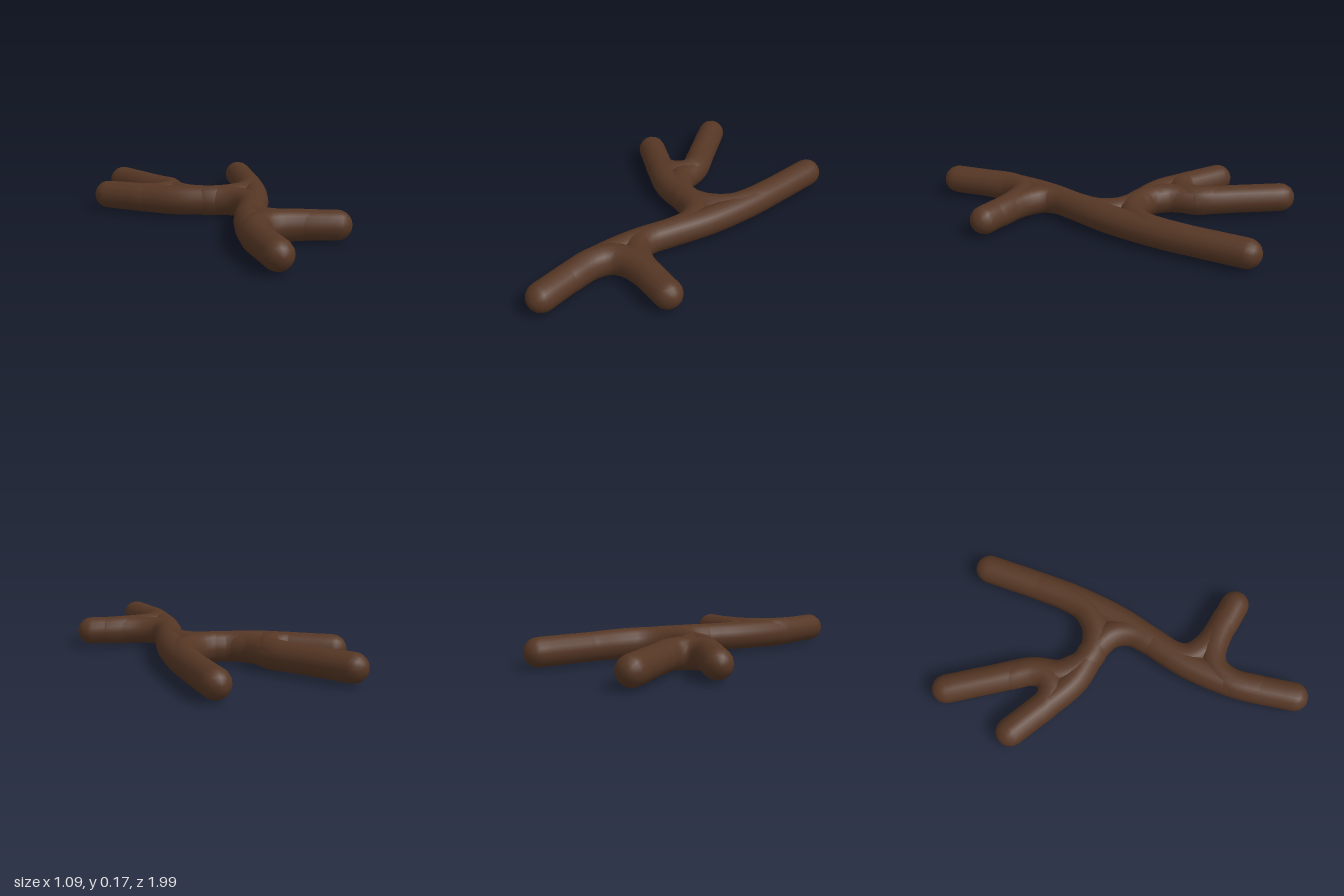
import * as THREE from 'three';
import { mergeVertices } from 'three/addons/utils/BufferGeometryUtils.js';

const RADIUS = 0.077, HEIGHT = 0.085, SIDES = 16, CAP = 5;

// Sweeps a round-ended limb along a level path of [x, z] points.
// swell thickens the middle of the limb vertically.
function limbGeometry(points, swell = 0) {
  const curve = new THREE.CatmullRomCurve3(points.map(([x, z]) => new THREE.Vector3(x, HEIGHT, z)), false, 'centripetal');
  const steps = Math.max(8, Math.ceil(curve.getLength() / 0.045));
  const rings = [];
  const addRing = (t, along, scale) => {
    const tangent = curve.getTangentAt(t);
    const centre = curve.getPointAt(t).addScaledVector(tangent, along);
    rings.push({ centre, tangent, wide: RADIUS * scale, tall: (RADIUS + swell * Math.sin(Math.PI * t)) * scale });
  };
  for (let k = 0; k < CAP; k++) {
    const a = (k / CAP) * Math.PI / 2;
    addRing(0, -RADIUS * Math.cos(a), Math.sin(a));
  }
  for (let i = 0; i <= steps; i++) addRing(i / steps, 0, 1);
  for (let k = CAP - 1; k >= 0; k--) {
    const a = (k / CAP) * Math.PI / 2;
    addRing(1, RADIUS * Math.cos(a), Math.sin(a));
  }

  const position = [], index = [];
  rings.forEach(({ centre, tangent, wide, tall }, i) => {
    for (let j = 0; j < SIDES; j++) {
      const a = (j / SIDES) * Math.PI * 2, c = Math.cos(a) * wide;
      position.push(centre.x + tangent.z * c, centre.y + Math.sin(a) * tall, centre.z - tangent.x * c);
      if (i === rings.length - 1) continue;
      const p = i * SIDES + j, q = i * SIDES + (j + 1) % SIDES;
      index.push(p, q, p + SIDES, q, q + SIDES, p + SIDES);
    }
  });
  let geometry = new THREE.BufferGeometry();
  geometry.setAttribute('position', new THREE.Float32BufferAttribute(position, 3));
  geometry.setIndex(index);
  geometry = mergeVertices(geometry, 1e-5);
  geometry.computeVertexNormals();
  return geometry;
}

export function createModel() {
  const bark = new THREE.MeshStandardMaterial({ color: 0x553624 });
  bark.name = 'bark brown';
  const group = new THREE.Group();
  group.name = 'branch';

  const add = (name, points, swell) => {
    const mesh = new THREE.Mesh(limbGeometry(points, swell), bark);
    mesh.name = name;
    group.add(mesh);
  };

  // Main limbs
  add('trunk', [[-0.295, 0.915], [-0.22, 0.61], [-0.1, 0.35], [0.02, 0.18], [0.155, -0.01],
    [0.28, -0.245], [0.36, -0.44], [0.465, -0.715]]);
  add('leftBranch', [[0.02, 0.18], [0.078, 0.07], [0.072, -0.04], [0, -0.125], [-0.195, -0.245],
    [-0.32, -0.39], [-0.468, -0.575]], 0.005);
  add('backTwig', [[-0.12, -0.23], [-0.155, -0.32], [-0.137, -0.46], [-0.18, -0.68], [-0.23, -0.92]]);
  add('frontTwig', [[0.02, 0.18], [-0.055, 0.29], [-0.068, 0.37], [-0.01, 0.47], [0.1, 0.555], [0.232, 0.635]]);

  // Curved webs that round out the forks
  add('trunkFork', [[-0.137, -0.46], [-0.155, -0.32], [-0.12, -0.22], [-0.03, -0.142], [0.09, -0.123],
    [0.215, -0.175], [0.29, -0.28], [0.36, -0.44]], 0.007);
  add('leftFork', [[-0.38, -0.465], [-0.32, -0.39], [-0.245, -0.358], [-0.17, -0.385], [-0.137, -0.46],
    [-0.16, -0.58]], 0.007);
  add('frontFork', [[-0.255, 0.74], [-0.21, 0.585], [-0.14, 0.508], [-0.05, 0.495], [0.08, 0.543],
    [0.16, 0.59]], 0.007);
  return group;
}
